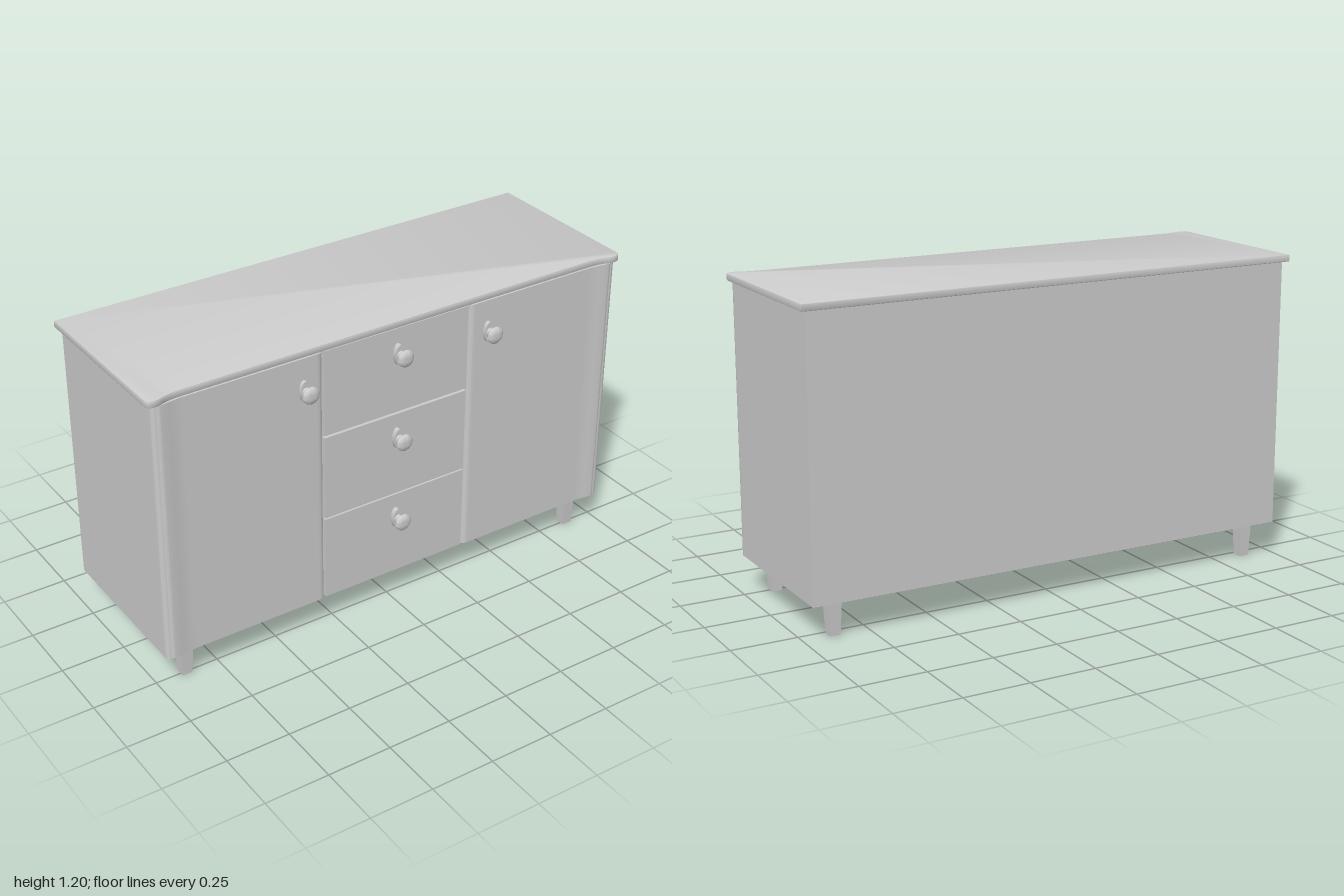
import * as THREE from 'three';
import { toCreasedNormals } from 'three/addons/utils/BufferGeometryUtils.js';

const grey = new THREE.MeshStandardMaterial({ color: 0xcccccc });

function add(parent, name, geometry, x = 0, y = 0, z = 0) {
  const mesh = new THREE.Mesh(geometry, grey);
  mesh.name = name;
  mesh.position.set(x, y, z);
  parent.add(mesh);
  return mesh;
}

// Extrude a plan outline (x, z) upward from y0 to y1
function slab(shape, y0, y1, bevel = 0) {
  const geo = new THREE.ExtrudeGeometry(shape, {
    depth: y1 - y0 - 2 * bevel, curveSegments: 8, bevelEnabled: bevel > 0,
    bevelSize: bevel, bevelThickness: bevel, bevelOffset: -bevel, bevelSegments: 2,
  });
  geo.rotateX(-Math.PI / 2).translate(0, y0 + bevel, 0);
  return toCreasedNormals(geo, 0.6);
}

// Worktop plan: straight front that swells forward at both corners
function topShape() {
  const s = new THREE.Shape();
  s.moveTo(-1, 0.363);
  s.lineTo(1, 0.363);
  s.lineTo(1, -0.3);
  s.bezierCurveTo(1, -0.322, 0.975, -0.327, 0.95, -0.32);
  s.bezierCurveTo(0.92, -0.308, 0.9, -0.305, 0.85, -0.305);
  s.lineTo(-0.85, -0.305);
  s.bezierCurveTo(-0.9, -0.305, -0.92, -0.308, -0.95, -0.32);
  s.bezierCurveTo(-0.975, -0.327, -1, -0.322, -1, -0.3);
  s.closePath();
  return s;
}

// Door plan: rounded inner edge, front swelling towards the outer corner
function doorShape(side) {
  const s = new THREE.Shape();
  s.moveTo(side * 0.316, -0.28);
  s.lineTo(side * 0.316, -0.296);
  s.quadraticCurveTo(side * 0.318, -0.307, side * 0.34, -0.307);
  s.lineTo(side * 0.86, -0.307);
  s.bezierCurveTo(side * 0.9, -0.307, side * 0.92, -0.315, side * 0.95, -0.316);
  s.quadraticCurveTo(side * 0.962, -0.316, side * 0.962, -0.308);
  s.lineTo(side * 0.962, -0.28);
  s.closePath();
  return s;
}

// Rounded front edge of each side panel
function edgeShape(side) {
  const s = new THREE.Shape();
  s.moveTo(side * 0.965, -0.28);
  s.lineTo(side * 0.965, -0.314);
  s.quadraticCurveTo(side * 0.98, -0.312, side * 0.98, -0.298);
  s.lineTo(side * 0.98, -0.28);
  s.closePath();
  return s;
}

// Mushroom knob on an oval back plate
function knob(parent, name, x, y) {
  const group = new THREE.Group();
  group.name = name;
  group.position.set(x, y, 0.302);
  parent.add(group);
  const plate = new THREE.CylinderGeometry(0.02, 0.02, 0.023, 24);
  plate.rotateX(Math.PI / 2).scale(1, 2.1, 1);
  add(group, 'knobPlate', plate, 0, -0.002, 0.0085);
  const profile = [[0, 0.015], [0.02, 0.015], [0.014, 0.024], [0.012, 0.04], [0.03, 0.045],
    [0.033, 0.05], [0.032, 0.056], [0.024, 0.063], [0.012, 0.065], [0, 0.066]];
  const head = new THREE.LatheGeometry(profile.map(p => new THREE.Vector2(...p)), 28);
  head.rotateX(Math.PI / 2);
  add(group, 'knobHead', toCreasedNormals(head, 0.7));
}

export function createModel() {
  const model = new THREE.Group();
  model.name = 'sideboard';
  const bottom = 0.135, under = 1.17;

  // Case and worktop
  add(model, 'case', new THREE.BoxGeometry(1.96, under - bottom, 0.63), 0, (bottom + under) / 2, -0.03);
  add(model, 'worktop', slab(topShape(), under, 1.197, 0.004));

  // Doors, side panel edges and door knobs
  for (const side of [-1, 1]) {
    const label = side > 0 ? 'left' : 'right';
    add(model, label + 'Door', slab(doorShape(side), bottom, under - 0.002));
    add(model, label + 'PanelEdge', slab(edgeShape(side), bottom, under));
    knob(model, label + 'DoorKnob', side * 0.394, 1.046);
  }

  // Three drawers
  const drawers = [['lower', 0.135, 0.476, 0.38], ['middle', 0.482, 0.82, 0.725], ['upper', 0.829, 1.168, 1.07]];
  for (const [label, y0, y1, knobY] of drawers) {
    add(model, label + 'Drawer', new THREE.BoxGeometry(0.616, y1 - y0, 0.025), 0, (y0 + y1) / 2, 0.2905);
    knob(model, label + 'DrawerKnob', 0, knobY);
  }

  // Tapered square legs
  for (const x of [-0.88, 0.88]) {
    for (const z of [-0.28, 0.245]) {
      const leg = new THREE.CylinderGeometry(0.026 * Math.SQRT2, 0.02 * Math.SQRT2, bottom, 4, 1);
      leg.rotateY(Math.PI / 4);
      add(model, (z > 0 ? 'front' : 'back') + (x > 0 ? 'Left' : 'Right') + 'Leg',
        toCreasedNormals(leg, 0.5), x, bottom / 2, z);
    }
  }
  return model;
}
